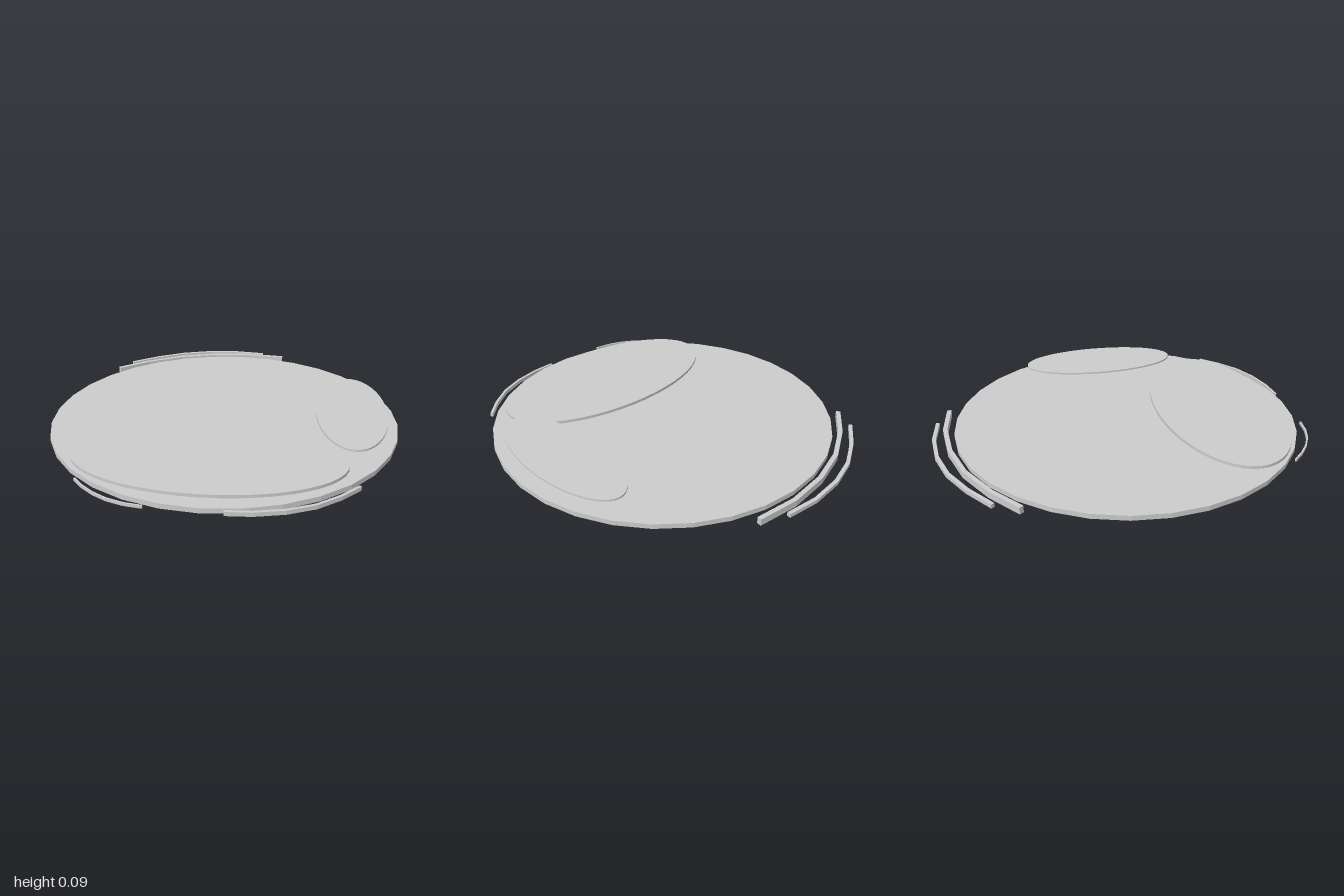
import * as THREE from 'three';

const material = new THREE.MeshStandardMaterial({ color: 0xcccccc, flatShading: true });

// Flat elliptical plate between two heights
function plate(name, x, z, rx, rz, y0, y1, sides) {
  const geometry = new THREE.CylinderGeometry(1, 1, y1 - y0, sides);
  geometry.scale(rx, 1, rz);
  geometry.translate(x, (y0 + y1) / 2, z);
  const mesh = new THREE.Mesh(geometry, material);
  mesh.name = name;
  return mesh;
}

// Curved strip following a centre line of [x, z] points
function strip(name, points, width, y0, y1) {
  const line = points.map(([x, z]) => new THREE.Vector2(x, -z));
  const edge = (side) => line.map((p, i) => {
    const a = line[Math.max(i - 1, 0)];
    const b = line[Math.min(i + 1, line.length - 1)];
    const t = b.clone().sub(a).normalize();
    return new THREE.Vector2(p.x - t.y * side * width / 2, p.y + t.x * side * width / 2);
  });
  const shape = new THREE.Shape([...edge(1), ...edge(-1).reverse()]);
  const geometry = new THREE.ExtrudeGeometry(shape, { depth: y1 - y0, bevelEnabled: false });
  geometry.rotateX(-Math.PI / 2);
  geometry.translate(0, y0, 0);
  const mesh = new THREE.Mesh(geometry, material);
  mesh.name = name;
  return mesh;
}

export function createModel() {
  const model = new THREE.Group();
  model.name = 'layeredDisc';

  // Base disc and the two oval plates hovering above it
  model.add(
    plate('baseDisc', 0, 0.047, 0.932, 0.932, 0.006, 0.032, 32),
    plate('frontOval', -0.017, 0.569, 0.673, 0.346, 0.046, 0.062, 48),
    plate('sideOval', 0.686, 0.03, 0.19, 0.453, 0.083, 0.093, 48),
  );

  // Curved strips around the rim
  model.add(
    strip('innerBackStrip', [[-0.75, -0.597], [-0.59, -0.727], [-0.391, -0.841],
      [-0.175, -0.908], [0.053, -0.932], [0.278, -0.91]], 0.024, 0, 0.036),
    strip('outerBackStrip', [[-0.692, -0.721], [-0.545, -0.832], [-0.386, -0.921],
      [-0.217, -0.973], [-0.032, -0.991], [0.146, -0.973]], 0.02, 0.009, 0.03),
    strip('frontRightStrip', [[0.105, 0.986], [0.23, 0.978], [0.372, 0.945],
      [0.5, 0.888], [0.61, 0.803], [0.698, 0.711]], 0.015, 0.01, 0.031),
    strip('frontLeftStrip', [[-0.614, 0.784], [-0.56, 0.842], [-0.497, 0.894],
      [-0.423, 0.937], [-0.339, 0.966], [-0.25, 0.979]], 0.009, 0.014, 0.029),
  );
  return model;
}
